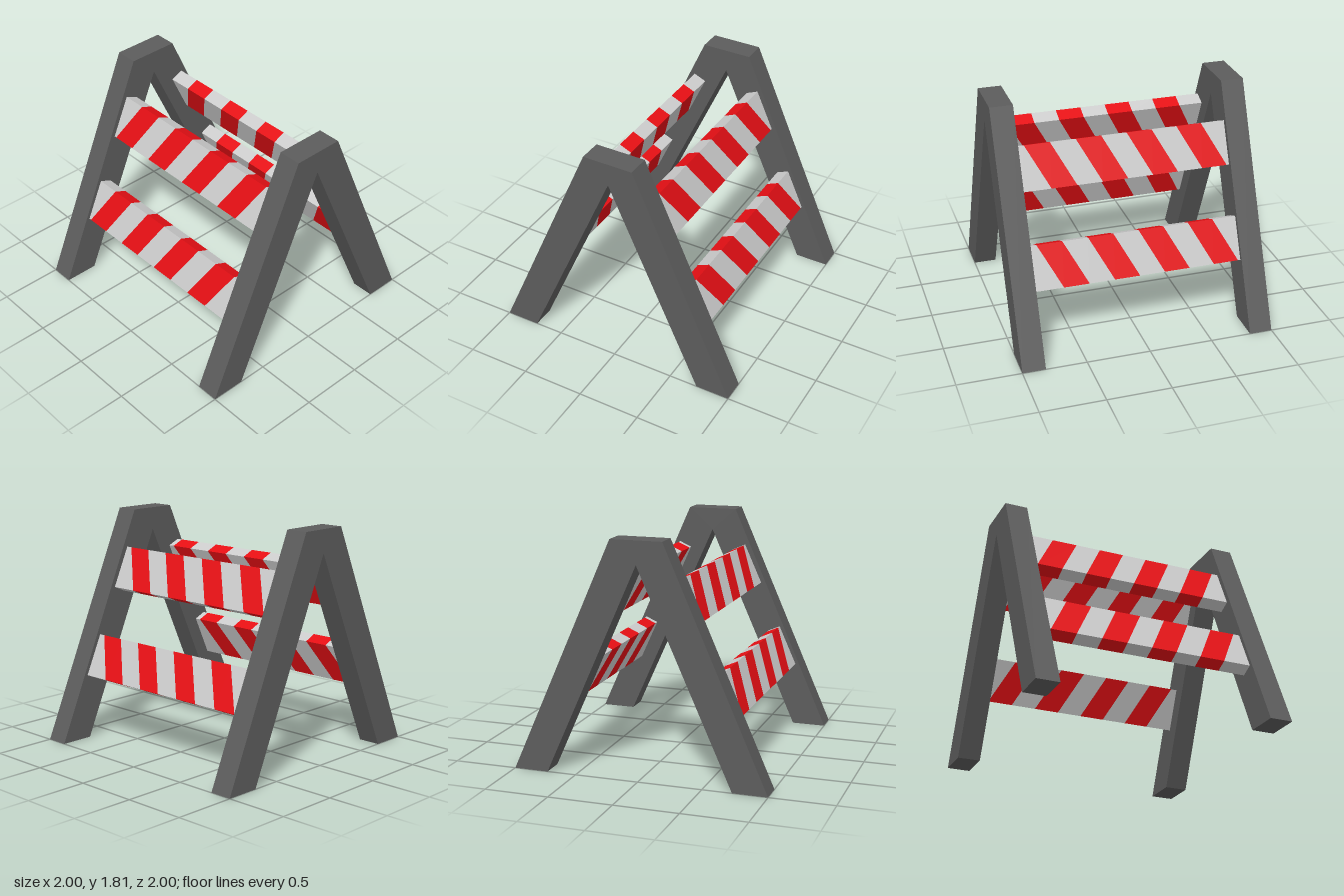
import * as THREE from 'three';

const paint = (color) => new THREE.MeshStandardMaterial({ color, flatShading: true });

// A-shaped end frame, extruded along z
function endFrame(material, name, z) {
  const outline = [[-1, 0], [-0.73, 0], [0, 1.63], [0.73, 0], [1, 0], [0.2, 1.81], [-0.2, 1.81]];
  const shape = new THREE.Shape(outline.map(([x, y]) => new THREE.Vector2(x, y)));
  const geometry = new THREE.ExtrudeGeometry(shape, { depth: 0.18, bevelEnabled: false });
  const mesh = new THREE.Mesh(geometry, material);
  mesh.name = name;
  mesh.position.z = z;
  return mesh;
}

// Leaning board cut into slanted bands; x, y is its lower outer edge
function stripedBoard(name, x, y, side, greyMaterial, redMaterial) {
  const HALF = 0.82, SLANT = 0.17;
  // Cross-section corners, counter-clockwise: x, y, shift of the bands along z
  let corners = [
    [x - 0.097, y - 0.043, 0],
    [x, y, 0],
    [x - 0.143, y + 0.315, SLANT],
    [x - 0.24, y + 0.272, SLANT],
  ].map(([cx, cy, s]) => [cx * side, cy, s]);
  if (side < 0) corners.reverse();

  // Rings of corners at every band edge, with square ends
  const ring = (z) => corners.map(([cx, cy, s]) =>
    [cx, cy, Math.abs(z) >= HALF ? z : z + s]);
  const edges = [-HALF];
  for (let i = 0; i < 8; i++) edges.push(-0.8 + i * 0.2);
  edges.push(HALF);
  const rings = edges.map(ring);

  const bands = [[], []]; // grey, red
  const quad = (list, a, b, c, d) => list.push(...a, ...b, ...c, ...a, ...c, ...d);
  for (let i = 0; i < rings.length - 1; i++) {
    const back = rings[i], front = rings[i + 1];
    for (let j = 0; j < 4; j++) {
      const k = (j + 1) % 4;
      quad(bands[i % 2], front[j], back[j], back[k], front[k]);
    }
  }
  // End caps
  quad(bands[0], ...rings[rings.length - 1]);
  quad(bands[0], ...[...rings[0]].reverse());

  const board = new THREE.Group();
  board.name = name;
  bands.forEach((positions, i) => {
    const geometry = new THREE.BufferGeometry();
    geometry.setAttribute('position', new THREE.Float32BufferAttribute(positions, 3));
    geometry.computeVertexNormals();
    const mesh = new THREE.Mesh(geometry, i ? redMaterial : greyMaterial);
    mesh.name = i ? 'redStripes' : 'greyStripes';
    board.add(mesh);
  });
  return board;
}

export function createModel() {
  const model = new THREE.Group();
  model.name = 'barricade';
  const dark = paint(0x5c5c5c), grey = paint(0xcccccc), red = paint(0xe60f14);

  model.add(endFrame(dark, 'frontFrame', 0.82), endFrame(dark, 'backFrame', -1));

  // Two boards on each sloping side
  for (const [sideName, side] of [['left', 1], ['right', -1]]) {
    model.add(stripedBoard(sideName + 'LowerBoard', 0.74, 0.52, side, grey, red));
    model.add(stripedBoard(sideName + 'UpperBoard', 0.43, 1.2, side, grey, red));
  }
  return model;
}
